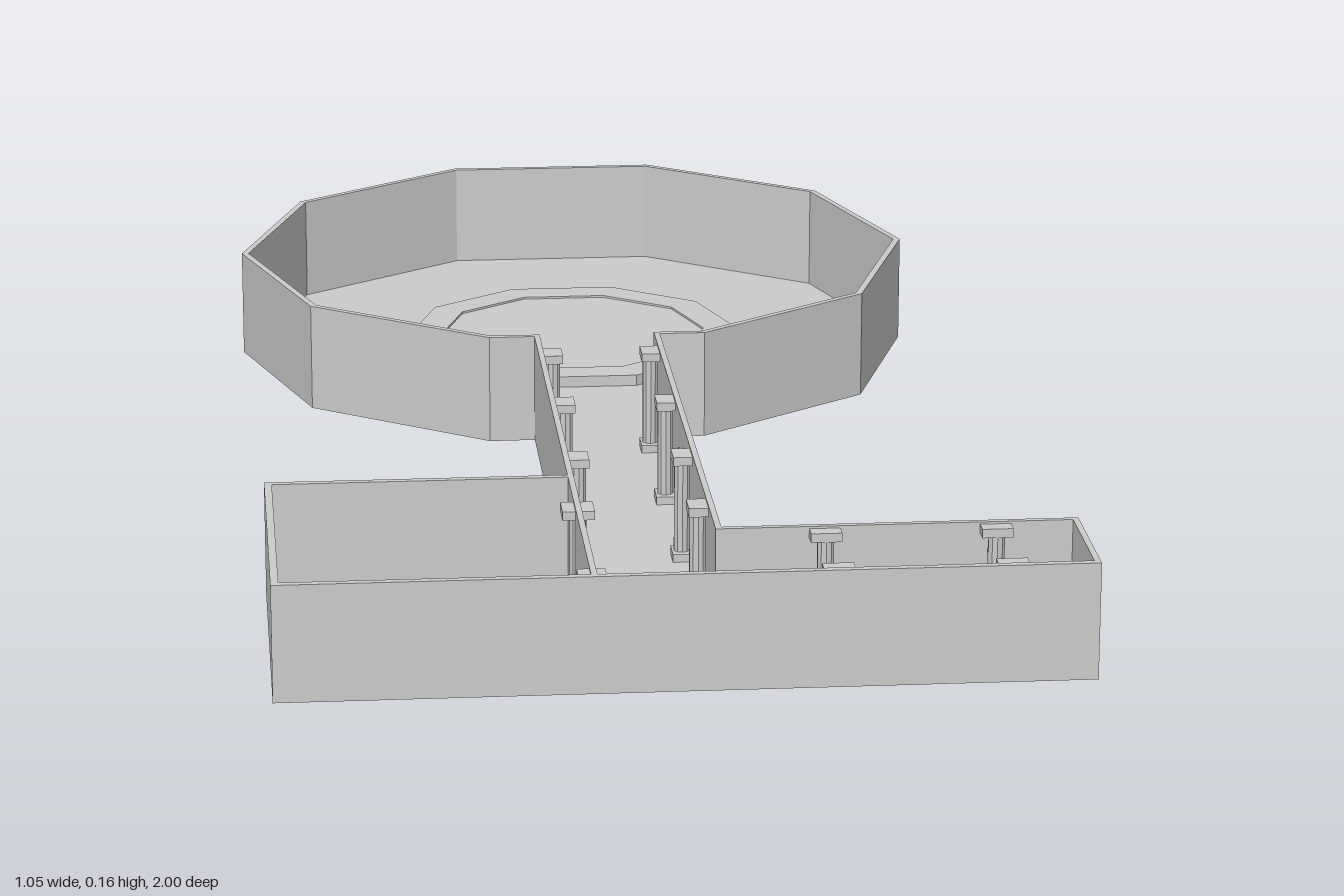
import * as THREE from 'three';

const HEIGHT = 0.155, FLOOR = 0.005, CX = -0.025, CZ = -0.525;

export function createModel() {
  const group = new THREE.Group();
  const material = new THREE.MeshStandardMaterial({ color: 0xcccccc, flatShading: true });

  const add = (name, geometry, x = 0, y = 0, z = 0, parent = group) => {
    const mesh = new THREE.Mesh(geometry, material);
    mesh.name = name;
    mesh.position.set(x, y, z);
    parent.add(mesh);
    return mesh;
  };

  // Decagon corners in plan, starting beside the corridor mouth
  const decagon = (r) => Array.from({ length: 10 }, (_, i) => {
    const a = (i + 3) * Math.PI / 5;
    return new THREE.Vector2(CX + r * Math.cos(a), CZ + r * Math.sin(a));
  });
  const points = (list) => list.map(([x, z]) => new THREE.Vector2(x, z));

  // Extrude a plan (x, z) between two heights
  const slab = (outer, hole, bottom, top) => {
    const shape = new THREE.Shape(outer);
    if (hole) shape.holes.push(new THREE.Path(hole));
    return new THREE.ExtrudeGeometry(shape, { depth: top - bottom, bevelEnabled: false })
      .rotateX(Math.PI / 2).translate(0, top, 0);
  };

  // Round hall, corridor, side wing and square room in one outline
  const outer = [...decagon(0.5), ...points([
    [0.065, -0.05], [0.065, 0.82], [0.525, 0.82], [0.525, 1],
    [-0.513, 1], [-0.513, 0.59], [-0.115, 0.59], [-0.115, -0.05]])];
  const inner = [...decagon(0.49), ...points([
    [0.057, -0.059], [0.057, 0.828], [0.517, 0.828], [0.517, 0.99],
    [-0.503, 0.99], [-0.503, 0.6], [-0.107, 0.6], [-0.107, -0.059]])];
  add('floor', slab(outer, null, 0, FLOOR));
  add('outerWalls', slab(outer, inner, FLOOR, HEIGHT));

  // Low platform with a shallow recess in the round hall
  add('platformRim', slab(decagon(0.25), decagon(0.2), FLOOR, 0.021));
  add('platformCentre', slab(decagon(0.2), null, FLOOR, 0.018));

  // Round-headed outline standing on y = 0
  const archOutline = (Path, halfWidth, height) => {
    const p = new Path();
    p.moveTo(-halfWidth, 0);
    p.lineTo(halfWidth, 0);
    p.lineTo(halfWidth, height - halfWidth);
    p.absarc(0, height - halfWidth, halfWidth, 0, Math.PI, false);
    p.closePath();
    return p;
  };

  // Wall between corridor and room, with an arched doorway
  const wall = new THREE.Shape(points([[-0.12, 0], [0.28, 0], [0.28, 0.15], [-0.12, 0.15]]));
  wall.holes.push(archOutline(THREE.Path, 0.025, 0.105));
  wall.holes[0].curves.forEach(() => {});
  const partition = add('partition', new THREE.ExtrudeGeometry(wall,
    { depth: 0.008, bevelEnabled: false, curveSegments: 10 }), -0.115, FLOOR, 0.87);
  partition.rotation.y = Math.PI / 2;

  // Blind arches facing each other across the corridor
  const frame = archOutline(THREE.Shape, 0.034, 0.115);
  frame.holes.push(archOutline(THREE.Path, 0.024, 0.105));
  const frameGeometry = new THREE.ExtrudeGeometry(frame,
    { depth: 0.005, bevelEnabled: false, curveSegments: 10 });
  for (const [x, side] of [[-0.107, 1], [0.057, -1]]) {
    add('archFrame', frameGeometry, x, FLOOR, 0.38).rotation.y = side * Math.PI / 2;
  }

  // Pillars: square base and capital with a round shaft
  const pillar = (x, z, w, d) => {
    const p = new THREE.Group();
    p.name = 'pillar';
    p.position.set(x, 0, z);
    group.add(p);
    add('pillarBase', new THREE.BoxGeometry(w, 0.012, d), 0, 0.01, 0, p);
    add('pillarShaft', new THREE.CylinderGeometry(0.011, 0.011, 0.13, 10), 0, 0.077, 0, p);
    add('pillarCapital', new THREE.BoxGeometry(w, 0.012, d), 0, 0.146, 0, p);
  };
  for (const z of [0.02, 0.255, 0.5, 0.715]) {
    pillar(0.045, z, 0.027, 0.04);
    if (z < 0.6) pillar(-0.094, z, 0.027, 0.04);
  }
  pillar(-0.111, 0.715, 0.042, 0.04);
  pillar(-0.113, 0.975, 0.036, 0.03);
  for (const x of [0.197, 0.417]) {
    pillar(x, 0.837, 0.04, 0.024);
    pillar(x, 0.977, 0.04, 0.027);
  }
  return group;
}
